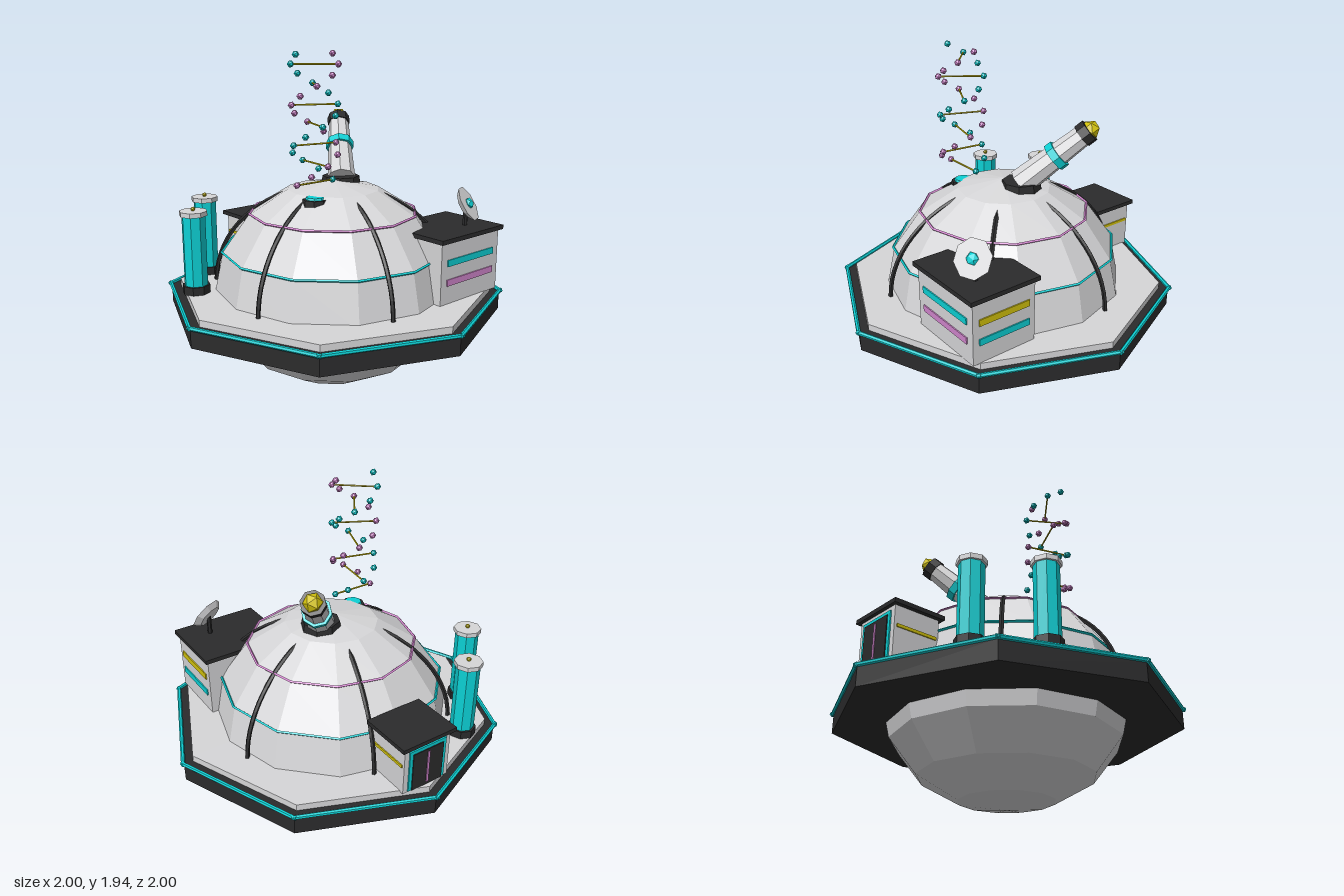
import * as THREE from 'three';

const paint = (name, color) => Object.assign(new THREE.MeshStandardMaterial({ color }), { name });

export function createModel() {
  const shell = paint('pale grey', 0xd6d6d8);
  const dark = paint('charcoal', 0x2b2b2c);
  const teal = paint('teal', 0x0cd0d4);
  const pink = paint('orchid', 0xd085cc);
  const gold = paint('gold', 0xd2c20c);

  const root = new THREE.Group();
  root.name = 'domeStation';
  const UP = new THREE.Vector3(0, 1, 0);
  const V = (x, y, z) => new THREE.Vector3(x, y, z);

  const group = (name) => {
    const g = new THREE.Group();
    g.name = name;
    root.add(g);
    return g;
  };
  // every part is faceted, so faces do not share vertices
  const add = (parent, name, geo, mat, x = 0, y = 0, z = 0) => {
    const g = geo.index ? geo.toNonIndexed() : geo;
    g.computeVertexNormals();
    const m = new THREE.Mesh(g, mat);
    m.name = name;
    m.position.set(x, y, z);
    parent.add(m);
    return m;
  };
  const box = (parent, name, mat, w, h, d, x, y, z) =>
    add(parent, name, new THREE.BoxGeometry(w, h, d), mat, x, y, z);
  // upright cylinder given by its bottom and top heights
  const drum = (parent, name, mat, rTop, rBottom, y0, y1, x = 0, z = 0, sides = 8) =>
    add(parent, name, new THREE.CylinderGeometry(rTop, rBottom, y1 - y0, sides), mat, x, (y0 + y1) / 2, z);
  // cylinder running from a to b
  const beam = (parent, name, mat, a, b, r, sides = 6) => {
    const dir = b.clone().sub(a);
    const m = add(parent, name, new THREE.CylinderGeometry(r, r, dir.length(), sides), mat);
    m.position.copy(a).add(b).multiplyScalar(0.5);
    m.quaternion.setFromUnitVectors(UP, dir.normalize());
    return m;
  };

  // Hull and dome
  const lower = new THREE.SphereGeometry(0.7, 12, 4, 0, Math.PI * 2, Math.PI / 2, Math.PI / 2);
  lower.scale(1, 0.583 / 0.7, 1);
  add(root, 'lowerHull', lower, shell, 0, 0.588, 0);
  const upper = new THREE.SphereGeometry(0.7, 12, 4, 0, Math.PI * 2, 0, Math.PI / 2);
  upper.scale(1, 0.65 / 0.7, 1);
  add(root, 'dome', upper, shell, 0, 0.56, 0);

  // Octagonal platform with glowing rim
  drum(root, 'platform', dark, 0.98, 0.98, 0.445, 0.55);
  drum(root, 'deck', shell, 0.925, 0.925, 0.55, 0.588);
  const rim = group('platformRim');
  for (let i = 0; i < 8; i++) {
    const corner = (k) => V(Math.sin(k * Math.PI / 4), 0, Math.cos(k * Math.PI / 4)).multiplyScalar(0.985).setY(0.558);
    const a = corner(i), b = corner(i + 1);
    const over = b.clone().sub(a).setLength(0.012);
    beam(rim, 'rimTube', teal, a.sub(over), b.add(over), 0.012);
  }

  // Light bands round the dome
  for (const [name, mat, r, y] of [['lowerBand', teal, 0.653, 0.81], ['upperBand', pink, 0.489, 1.028]]) {
    add(root, name, new THREE.TorusGeometry(r, 0.008, 4, 12), mat, 0, y, 0).rotation.x = Math.PI / 2;
  }

  // Curved ribs
  const ribs = group('ribs');
  for (let i = 0; i < 6; i++) {
    const az = Math.PI / 4 + i * Math.PI / 3;
    const pts = [];
    for (let k = 0; k <= 10; k++) {
      const t = 0.17 + (1.54 - 0.17) * k / 10;
      const r = 0.705 * Math.sin(t);
      pts.push(V(r * Math.cos(az), 0.57 + 0.61 * Math.cos(t), r * Math.sin(az)));
    }
    add(ribs, 'rib', new THREE.TubeGeometry(new THREE.CatmullRomCurve3(pts), 16, 0.013, 5), dark);
  }

  // Telescope on its mount
  drum(root, 'telescopeMount', dark, 0.108, 0.12, 1.14, 1.215, 0.1, -0.045);
  const scope = group('telescope');
  scope.position.set(0.1, 1.2, -0.04);
  scope.quaternion.setFromUnitVectors(UP, V(0.48, 0.64, -0.6).normalize());
  drum(scope, 'telescopeTube', shell, 0.06, 0.082, 0, 0.46);
  drum(scope, 'telescopeCollar', teal, 0.084, 0.084, 0.235, 0.28);
  drum(scope, 'telescopeCap', dark, 0.068, 0.068, 0.435, 0.49);
  add(scope, 'telescopeLens', new THREE.IcosahedronGeometry(0.053, 0), gold, 0, 0.497, 0);

  // Double helix over a small projector
  const helix = group('helix');
  helix.position.set(-0.235, 0, 0.12);
  drum(helix, 'projectorBase', dark, 0.07, 0.075, 1.11, 1.15);
  drum(helix, 'projectorLens', teal, 0.05, 0.055, 1.15, 1.162);
  for (let i = 0; i < 14; i++) {
    const a = i * 3 * Math.PI / 13;
    const p = V(0.126 * Math.cos(a), 1.243 + i * 0.0527, -0.126 * Math.sin(a));
    const q = V(-p.x, p.y, -p.z);
    add(helix, 'tealNode', new THREE.IcosahedronGeometry(0.02, 0), teal, p.x, p.y, p.z);
    add(helix, 'pinkNode', new THREE.IcosahedronGeometry(0.02, 0), pink, q.x, q.y, q.z);
    if (i % 2 === 0) beam(helix, 'rung', gold, p, q, 0.005, 5);
  }

  // Front laboratory with striped windows
  const lab = group('laboratory');
  lab.position.set(0.408, 0, 0.5);
  box(lab, 'labWalls', shell, 0.485, 0.36, 0.39, 0, 0.765, 0);
  box(lab, 'labRoof', dark, 0.525, 0.025, 0.43, 0, 0.953, 0);
  for (const [y, front, side] of [[0.823, teal, gold], [0.711, pink, teal]]) {
    box(lab, 'frontWindow', front, 0.39, 0.037, 0.009, 0, y, 0.197);
    box(lab, 'sideWindow', side, 0.009, 0.037, 0.315, 0.245, y, 0);
  }

  // Dish aerial on the laboratory roof
  drum(lab, 'dishPost', dark, 0.014, 0.014, 0.96, 1.08, 0.095, 0.07, 6);
  const dish = group('dish');
  dish.position.set(0.503, 1.085, 0.575);
  dish.quaternion.setFromUnitVectors(UP, V(0.36, 0.52, 0.78).normalize());
  drum(dish, 'dishBowl', shell, 0.108, 0.075, -0.015, 0.015);
  add(dish, 'dishReceiver', new THREE.IcosahedronGeometry(0.036, 0), teal, 0, 0.02, 0).scale.y = 0.6;

  // Rear entrance hut
  const hut = group('entranceHut');
  hut.position.set(0, 0, -0.75);
  box(hut, 'hutWalls', shell, 0.3, 0.29, 0.27, 0, 0.725, 0);
  box(hut, 'hutRoof', dark, 0.35, 0.024, 0.31, 0, 0.876, 0);
  box(hut, 'doorFrame', teal, 0.24, 0.255, 0.009, 0, 0.715, -0.138);
  box(hut, 'door', dark, 0.2, 0.235, 0.009, 0, 0.705, -0.143);
  box(hut, 'doorLight', pink, 0.014, 0.2, 0.009, 0, 0.705, -0.147);
  for (const s of [-1, 1]) box(hut, 'hutStripe', gold, 0.009, 0.017, 0.24, s * 0.152, 0.755, 0);

  // Storage tanks
  for (const [x, z] of [[-0.705, -0.385], [-0.46, -0.66]]) {
    const tank = group('tank');
    tank.position.set(x, 0, z);
    drum(tank, 'tankBase', dark, 0.08, 0.08, 0.585, 0.635);
    drum(tank, 'tankBody', teal, 0.068, 0.068, 0.635, 1.04);
    drum(tank, 'tankLid', shell, 0.08, 0.08, 1.04, 1.067);
    add(tank, 'tankValve', new THREE.IcosahedronGeometry(0.014, 0), gold, 0, 1.077, 0);
  }
  return root;
}
